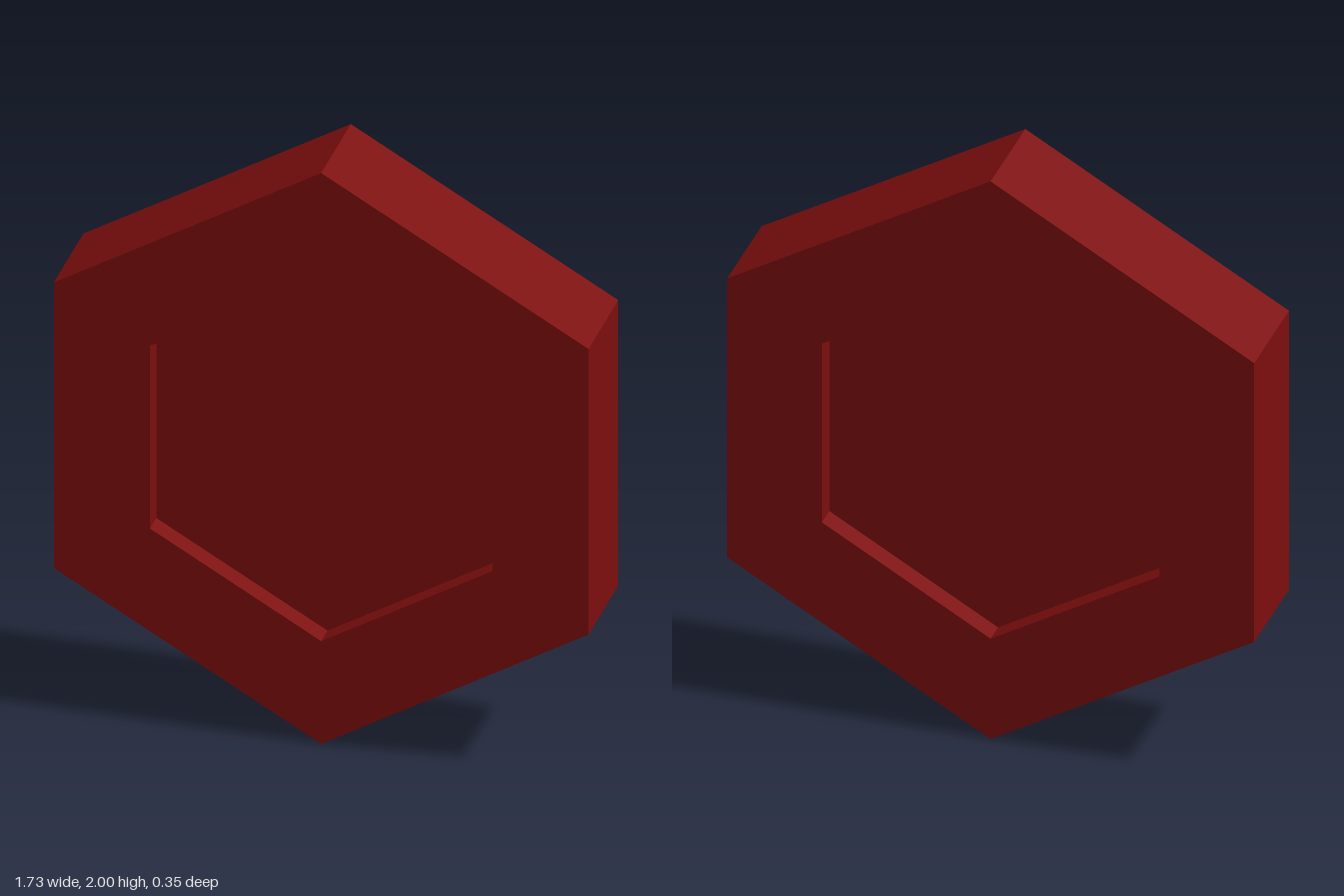
import * as THREE from 'three';

const OUTER = 1, INNER = 0.64, HALF = 0.175, PANEL_HALF = 0.1;

// Six-sided solid turned from a bottom-to-top profile, standing on a corner and facing +z
function hexLathe(name, profile, material) {
  const points = profile.map(([r, y]) => new THREE.Vector2(r, y));
  const geometry = new THREE.LatheGeometry(points, 6).toNonIndexed();
  geometry.rotateX(-Math.PI / 2);
  geometry.computeVertexNormals();
  const mesh = new THREE.Mesh(geometry, material);
  mesh.name = name;
  mesh.position.y = OUTER;
  return mesh;
}

export function createModel() {
  const group = new THREE.Group();
  group.name = 'hexagonTile';
  const darkRed = new THREE.MeshStandardMaterial({ color: 0x7d0e0e });
  darkRed.name = 'darkRed';
  darkRed.flatShading = true;

  // Thick rim, including the walls of both recesses
  group.add(hexLathe('rim', [
    [INNER, -PANEL_HALF], [INNER, -HALF], [OUTER, -HALF],
    [OUTER, HALF], [INNER, HALF], [INNER, PANEL_HALF],
  ], darkRed));

  // Sunken panels on the front and back
  for (const [name, turn] of [['frontPanel', 0], ['backPanel', Math.PI]]) {
    const panel = hexLathe(name, [[INNER, PANEL_HALF], [0, PANEL_HALF]], darkRed);
    panel.rotation.y = turn;
    group.add(panel);
  }
  return group;
}
